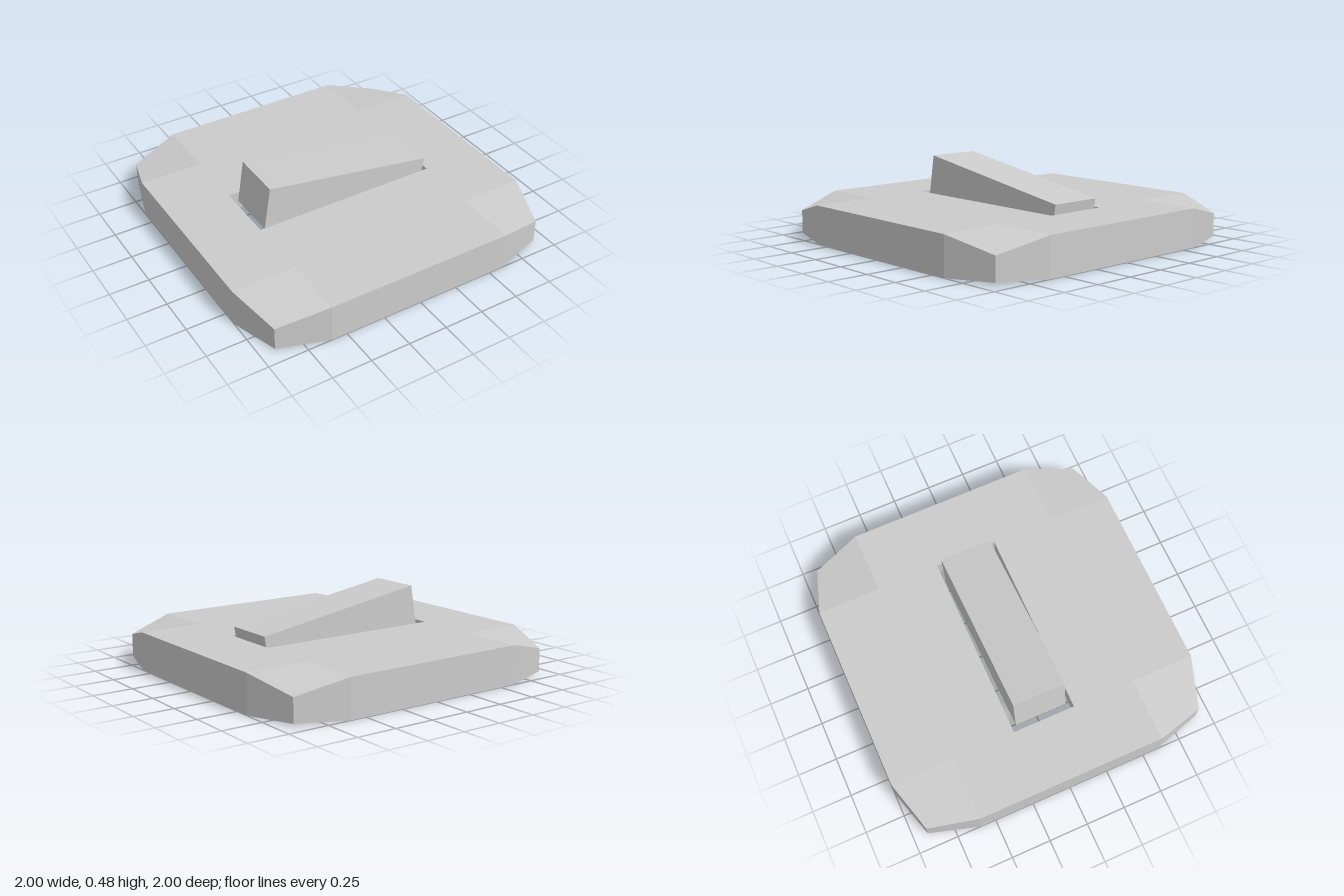
import * as THREE from 'three';

const material = new THREE.MeshStandardMaterial({ color: 0xcccccc, side: THREE.DoubleSide, flatShading: false });

const TOP = 0.24;               // height of the flat face of the plate
const FLAT = 0.6, TIP = 0.91;   // start of the corner facets, corner position

// Flat-shaded faces from quads; each quad keeps one normal across both triangles.
function quadGeometry(quads) {
  const positions = [], normals = [];
  for (const [a, b, c, d] of quads) {
    const v = [a, b, c, d].map((p) => new THREE.Vector3(...p));
    const n = v[2].clone().sub(v[0]).cross(v[3].clone().sub(v[1])).normalize();
    for (const i of [0, 1, 2, 0, 2, 3]) {
      positions.push(...v[i].toArray());
      normals.push(...n.toArray());
    }
  }
  const g = new THREE.BufferGeometry();
  g.setAttribute('position', new THREE.Float32BufferAttribute(positions, 3));
  g.setAttribute('normal', new THREE.Float32BufferAttribute(normals, 3));
  return g;
}

// Quads joining two closed loops of points, lower to upper.
function band(lower, upper) {
  return lower.map((p, i) => {
    const j = (i + 1) % lower.length;
    return [p, lower[j], upper[j], upper[i]];
  });
}

function addPart(group, name, geometry) {
  const mesh = new THREE.Mesh(geometry, material);
  mesh.name = name;
  group.add(mesh);
  return mesh;
}

// Rectangle corners at height y, ordered so that bands face outward.
const rectangle = (w, d, y) => [[w, y, d], [w, y, -d], [-w, y, -d], [-w, y, d]];

export function createModel() {
  const model = new THREE.Group();
  model.name = 'rockerSwitch';

  // Flat cross-shaped face with the slot cut out
  const face = new THREE.Shape([
    [1, -FLAT], [1, FLAT], [FLAT, FLAT], [FLAT, 1], [-FLAT, 1], [-FLAT, FLAT],
    [-1, FLAT], [-1, -FLAT], [-FLAT, -FLAT], [-FLAT, -1], [FLAT, -1], [FLAT, -FLAT],
  ].map(([x, y]) => new THREE.Vector2(x, y)));
  const slotW = 0.6, slotD = 0.2;
  face.holes.push(new THREE.Path([
    new THREE.Vector2(-slotW, -slotD), new THREE.Vector2(-slotW, slotD),
    new THREE.Vector2(slotW, slotD), new THREE.Vector2(slotW, -slotD),
  ]));
  addPart(model, 'plateFace', new THREE.ShapeGeometry(face).rotateX(-Math.PI / 2).translate(0, TOP, 0));

  // Corner facets dipping to the tips, and the outer rim, by quarter turns
  const facets = [], lower = [], upper = [];
  for (let k = 0; k < 4; k++) {
    const c = [1, 0, -1, 0][k], s = [0, 1, 0, -1][k];
    const turn = ([x, y, z]) => [c * x + s * z, y, -s * x + c * z];
    const inner = [FLAT, TOP, FLAT], side = [1, TOP, FLAT];
    const tip = [TIP, 0.16, TIP], front = [FLAT, TOP, 1];
    facets.push([inner, front, tip, side].map(turn));
    upper.push(...[front, tip, side].map(turn));
    lower.push(...[[FLAT, 0, 1], [TIP, 0.015, TIP], [1, 0, FLAT]].map(turn));
  }
  addPart(model, 'cornerFacets', quadGeometry(facets));
  addPart(model, 'plateRim', quadGeometry(band(lower, upper)));

  // Collar hanging below the slot
  addPart(model, 'slotCollar', quadGeometry(band(rectangle(slotW, slotD, 0.12), rectangle(slotW, slotD, TOP))));

  // Tilted rocker, a box open underneath
  const w = 0.5625, d = 0.167, h = 0.28;
  const cap = rectangle(w, d, 0);
  const rocker = addPart(model, 'rocker', quadGeometry([...band(rectangle(w, d, -h), cap), cap]));
  rocker.position.set(0.045, 0.39, 0);
  rocker.rotation.z = -0.161;

  return model;
}
